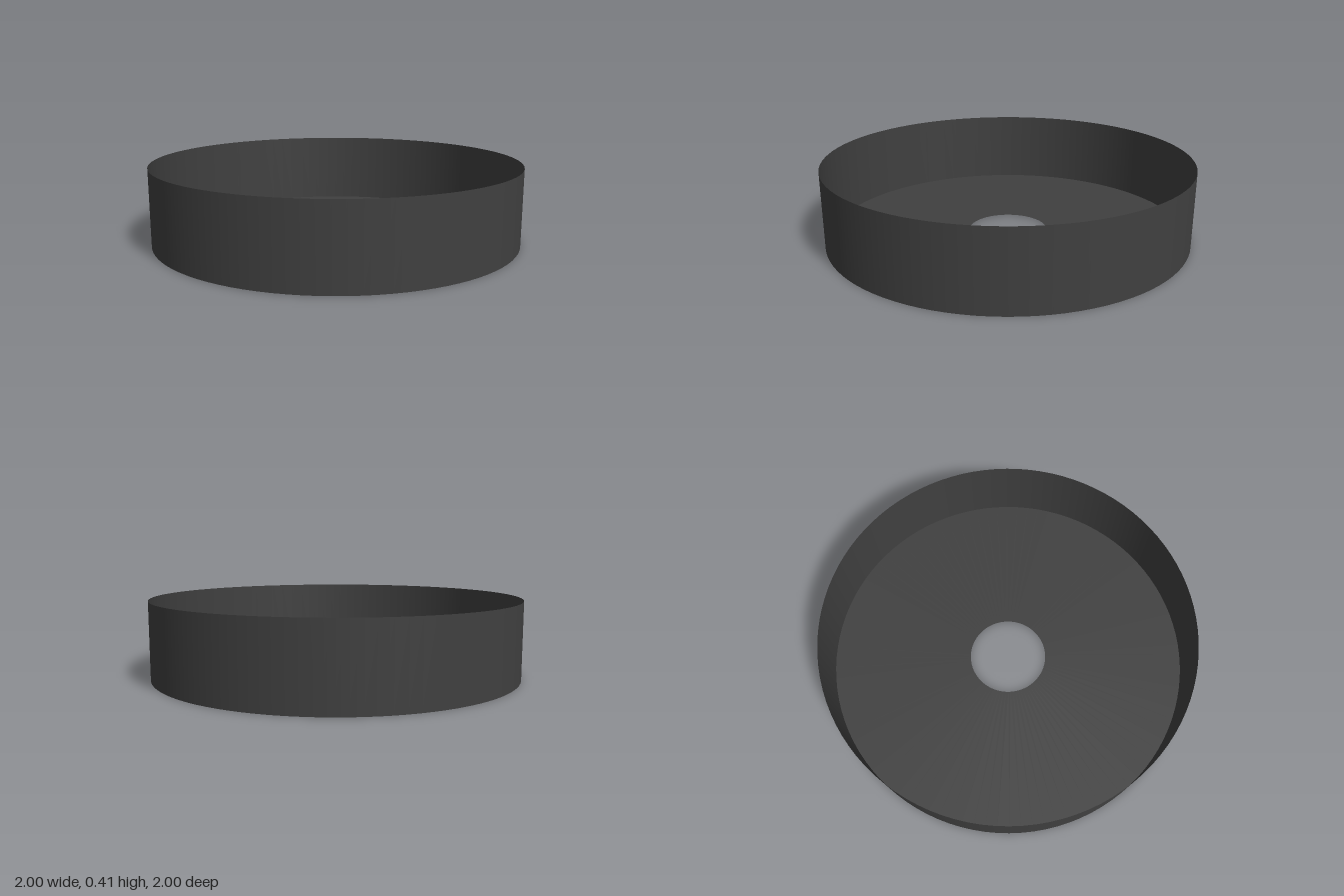
import * as THREE from 'three';

const RADIUS = 1, HOLE_RADIUS = 0.217, HEIGHT = 0.415, SEGMENTS = 96;

export function createModel() {
  const group = new THREE.Group();
  group.name = 'roundTray';
  const material = new THREE.MeshStandardMaterial({ color: 0x404040, side: THREE.DoubleSide });

  // Thin upright wall, open at the top
  const wall = new THREE.Mesh(
    new THREE.CylinderGeometry(RADIUS, RADIUS, HEIGHT, SEGMENTS, 1, true), material);
  wall.name = 'wall';
  wall.position.y = HEIGHT / 2;

  // Flat floor with a round hole in the middle
  const floor = new THREE.Mesh(
    new THREE.RingGeometry(HOLE_RADIUS, RADIUS, SEGMENTS), material);
  floor.name = 'floor';
  floor.rotation.x = -Math.PI / 2;

  group.add(wall, floor);
  return group;
}
